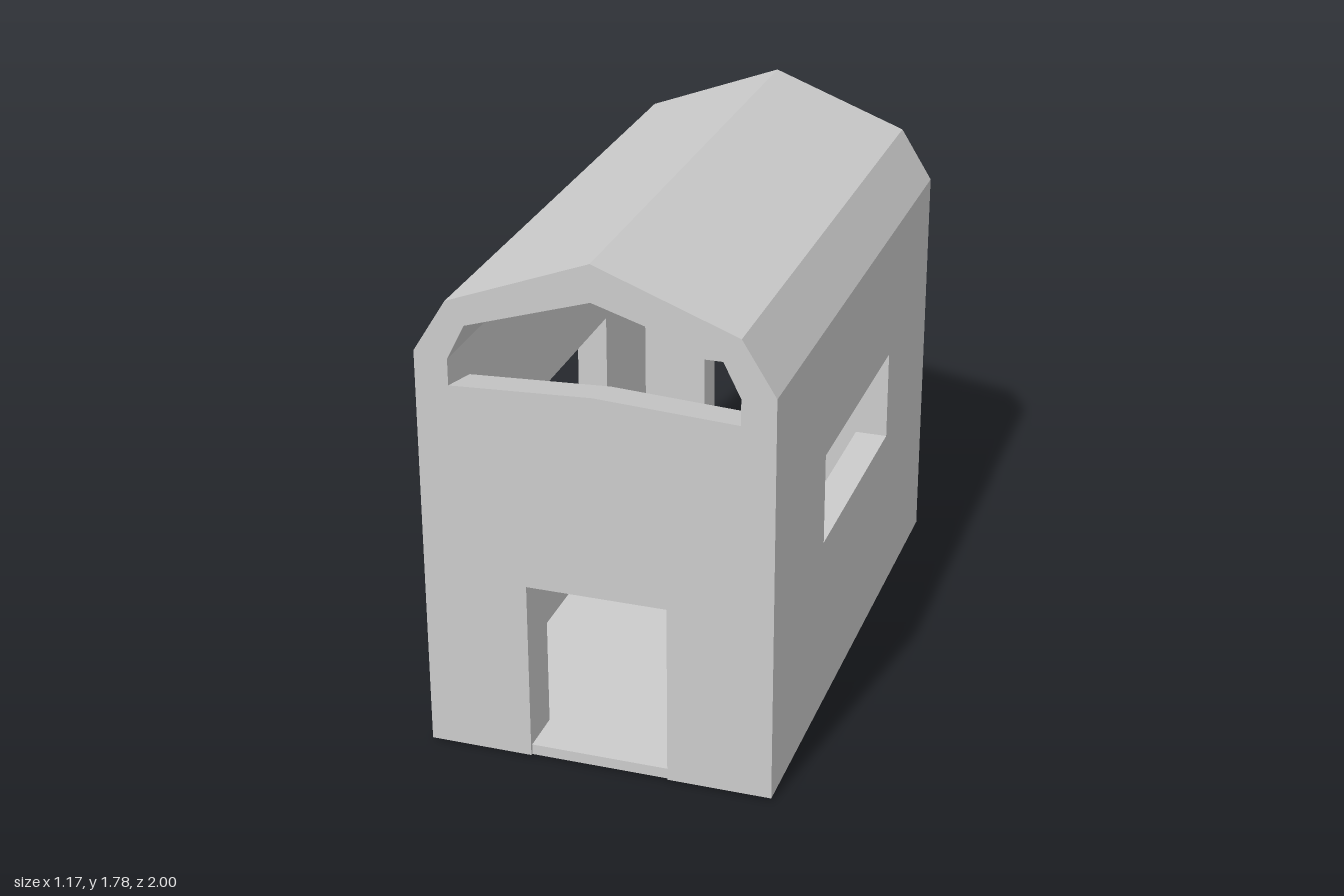
import * as THREE from 'three';

const material = new THREE.MeshStandardMaterial({ color: 0xcccccc, flatShading: true });
const HALF = 0.587, INNER = 0.475, DOOR = 0.236, BASE = 0.01, EAVE = 1.405;
const FRONT_IN = 0.83, BACK_IN = -0.87;

const points = (list) => list.map(([x, y]) => new THREE.Vector2(x, y));

// right half of a profile, mirrored to the left
const mirrored = (half) => [...half, ...half.filter(([x]) => x !== 0).reverse().map(([x, y]) => [-x, y])];

function extrude(outline, depth, holes = []) {
  const shape = new THREE.Shape(points(outline));
  for (const hole of holes) shape.holes.push(new THREE.Path(points(hole)));
  return new THREE.ExtrudeGeometry(shape, { depth, bevelEnabled: false });
}

// lowers the inner edge of the gable sill so that it slopes inwards
function slopeSill(geometry) {
  const position = geometry.attributes.position;
  for (let i = 0; i < position.count; i++) {
    const y = position.getY(i);
    if (position.getZ(i) < 0.01 && y > 1.3 && y < 1.35) position.setY(i, y - 0.035);
  }
  geometry.computeVertexNormals();
  return geometry;
}

// thin plate whose underside is recessed above the wall feet and dips at the corners
function floorPlate() {
  const halfX = 0.51, halfZ = 0.96, top = 0.045;
  const geometry = new THREE.BoxGeometry(2 * halfX, top, 2 * halfZ, 16, 1, 24).translate(0, top / 2, 0);
  const position = geometry.attributes.position;
  const { smoothstep } = THREE.MathUtils;
  for (let i = 0; i < position.count; i++) {
    if (position.getY(i) > top / 2) continue;
    const z = position.getZ(i);
    const corner = Math.abs(position.getX(i) * z) / (halfX * halfZ);
    const dip = z > 0 ? smoothstep(corner, 0.3, 0.55) : smoothstep(corner, 0.8, 0.95);
    position.setY(i, 0.035 - 0.028 * dip - 0.007 * smoothstep(corner, 0.85, 1));
  }
  geometry.computeVertexNormals();
  return geometry;
}

export function createModel() {
  const group = new THREE.Group();
  const add = (name, geometry) => {
    const mesh = new THREE.Mesh(geometry, material);
    mesh.name = name;
    group.add(mesh);
  };

  const roofOuter = [[HALF, 1.42], [0.475, 1.6], [0, 1.78]];
  const roofInner = [[INNER, EAVE], [0.415, 1.525], [0, 1.655]];

  // end walls, with the doorway cut out of the bottom edge
  const endWall = mirrored([[DOOR, 0.642], [DOOR, BASE], [HALF, BASE], ...roofOuter]);
  const gableOpening = mirrored([[0, 1.34], [INNER, 1.316], ...roofInner]);
  add('frontWall', slopeSill(extrude(endWall, 1 - FRONT_IN, [gableOpening])).translate(0, 0, FRONT_IN));
  add('backWall', extrude(endWall, BACK_IN + 1).translate(0, 0, -1));

  // hollow roof between the end walls
  const roofSection = [
    ...mirrored([[HALF, EAVE], ...roofOuter]),
    ...mirrored(roofInner).reverse(),
  ];
  add('roof', extrude(roofSection, FRONT_IN - BACK_IN).translate(0, 0, BACK_IN));

  // side walls with a wide window
  const sideWall = [[BACK_IN, BASE], [FRONT_IN, BASE], [FRONT_IN, EAVE], [BACK_IN, EAVE]];
  const sideWindow = [[-0.435, 0.64], [0.415, 0.64], [0.415, 0.96], [-0.435, 0.96]];
  for (const [name, outerX] of [['leftWall', HALF], ['rightWall', -INNER]]) {
    add(name, extrude(sideWall, HALF - INNER, [sideWindow])
      .rotateY(-Math.PI / 2).translate(outerX, 0, 0));
  }

  add('floor', floorPlate());

  // raised threshold closing the floor edge in each doorway
  for (const [name, z] of [['frontThreshold', 0.975], ['backThreshold', -0.955]]) {
    add(name, new THREE.BoxGeometry(2 * DOOR, 0.037, 0.03).translate(0, 0.0265, z));
  }

  return group;
}
